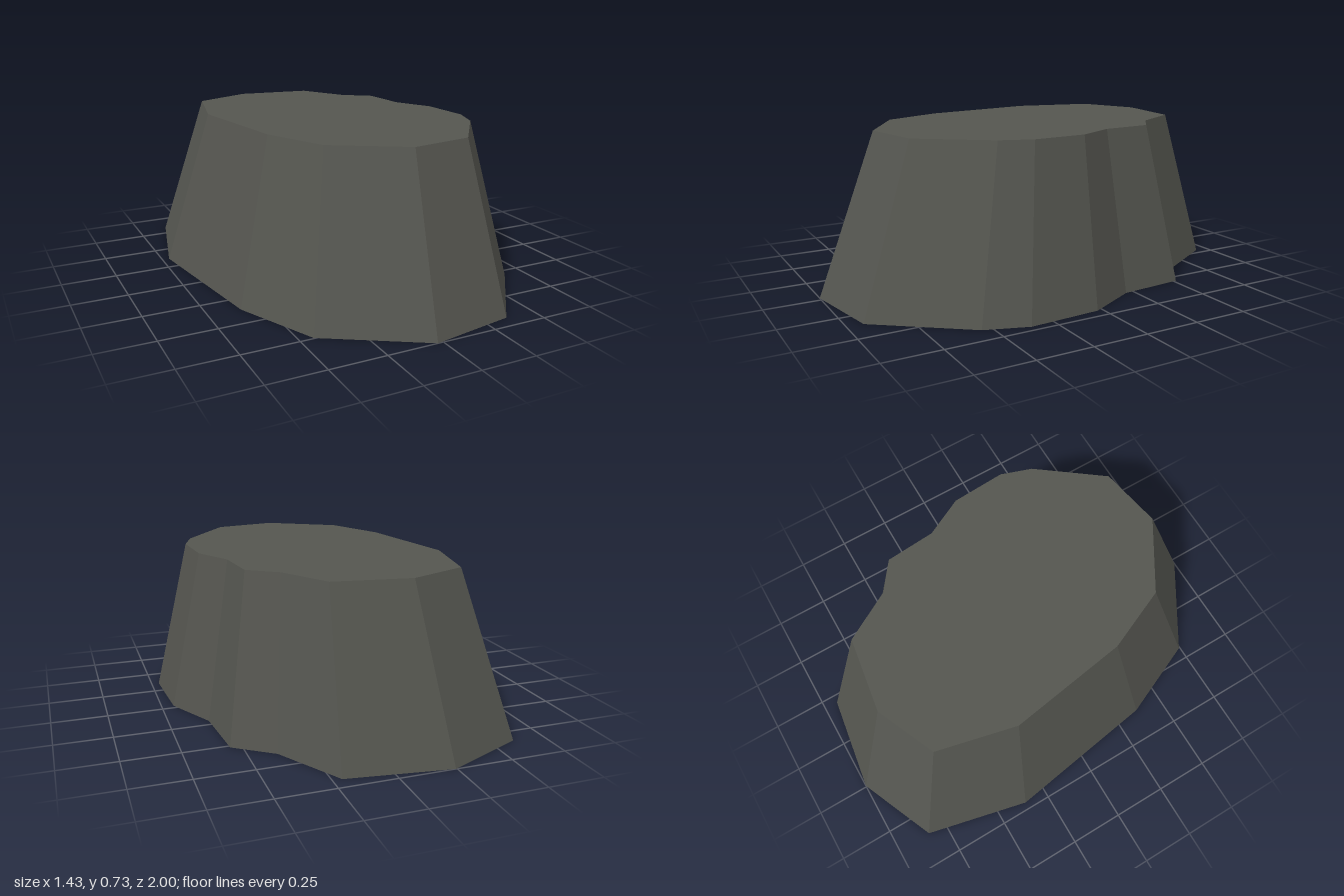
import * as THREE from 'three';

const HEIGHT = 0.725;
const TAPER = 0.75;

// Footprint outline as (x, z) points
const OUTLINE = [
  [-0.245, -1.0], [0.21, -0.935], [0.38, -0.64], [0.55, -0.515], [0.575, -0.21],
  [0.695, 0.025], [0.715, 0.355], [0.65, 0.545], [0.36, 0.93], [-0.025, 1.0],
  [-0.44, 0.745], [-0.605, 0.367], [-0.717, -0.36], [-0.605, -0.84],
];

export function createModel() {
  const group = new THREE.Group();
  group.name = 'rock';

  const stone = new THREE.MeshStandardMaterial({ color: 0x54554f, flatShading: true });
  stone.name = 'dark stone';

  // Extrude the footprint upward
  const shape = new THREE.Shape(OUTLINE.map(([x, z]) => new THREE.Vector2(x, -z)));
  const geometry = new THREE.ExtrudeGeometry(shape, { depth: HEIGHT, bevelEnabled: false });
  geometry.rotateX(-Math.PI / 2);

  // Shrink the upper rim toward a slightly offset centre
  const pos = geometry.attributes.position;
  for (let i = 0; i < pos.count; i++) {
    if (pos.getY(i) < HEIGHT / 2) continue;
    pos.setX(i, pos.getX(i) * TAPER + 0.028);
    pos.setZ(i, pos.getZ(i) * TAPER - 0.01);
  }
  geometry.computeVertexNormals();

  const body = new THREE.Mesh(geometry, stone);
  body.name = 'rockBody';
  group.add(body);
  return group;
}
